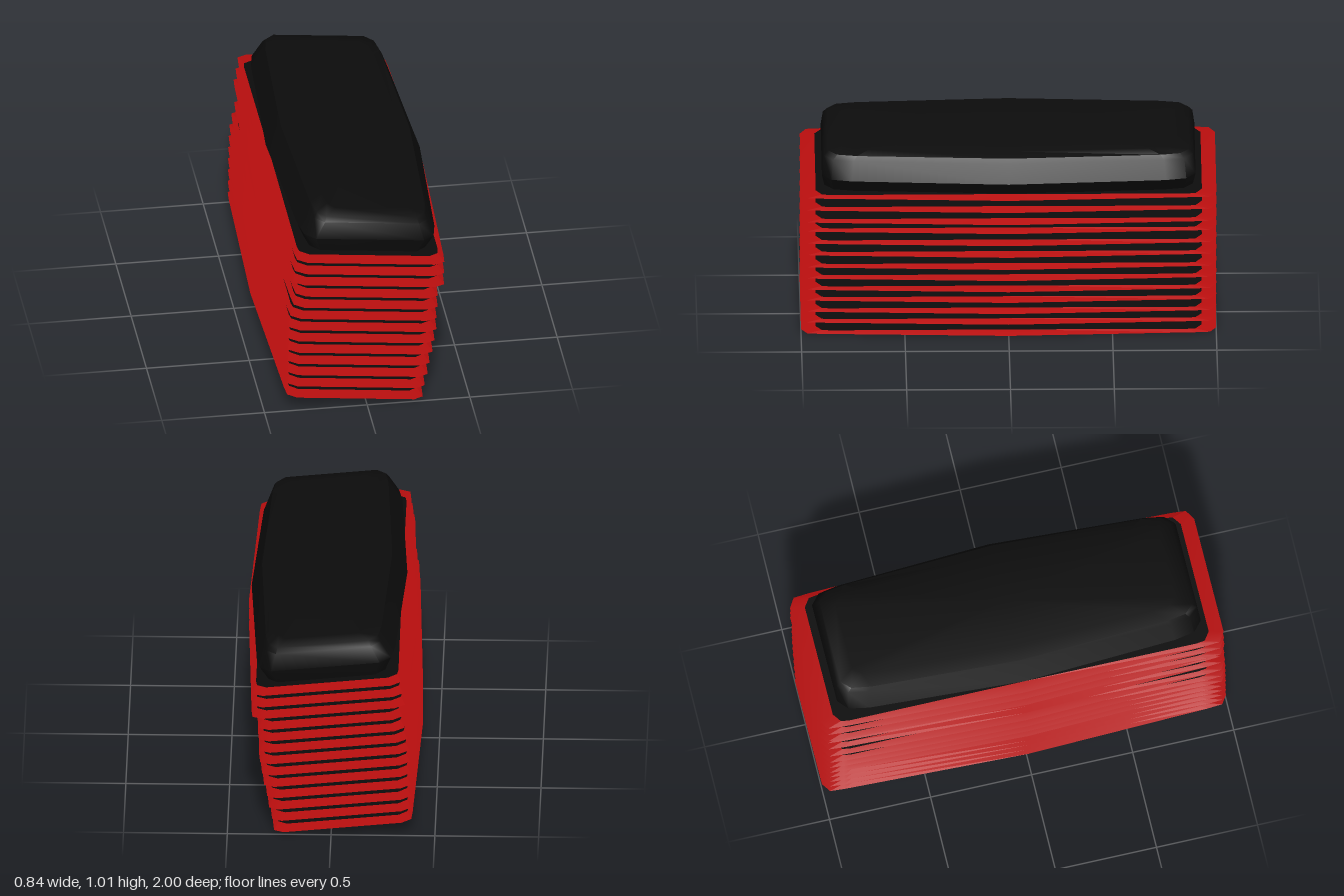
import * as THREE from 'three';
import { toCreasedNormals } from 'three/addons/utils/BufferGeometryUtils.js';

const SLOPE = -0.103; // every layer leans down towards +x

// Full closed outline from one quarter of [x, z] fractions
function outline(q) {
  const rest = q.slice(1), back = [...q].reverse();
  return [
    ...q,
    ...back.map(([x, z]) => [-x, z]),
    ...rest.map(([x, z]) => [-x, -z]),
    ...back.slice(0, -1).map(([x, z]) => [x, -z]),
  ];
}

const BODY = outline([[1, 0], [0.89, 0.84], [0.84, 0.95], [0.7, 1]]);
const EDGE = outline([[1, 0], [0.92, 0.9], [0.905, 0.97], [0.78, 1]]);
const FACE = outline([[0.86, 0], [0.865, 0.86], [0.85, 0.9], [0.74, 0.93]]);

// Joins sections { y, l, r, z, shape } into a sheared solid
function loft(sections, { sides = true, caps = true, crease = 0.6 } = {}) {
  const pos = [], index = [], n = sections[0].shape.length;
  const put = (x, y, z) => pos.push(x, y + SLOPE * x, z);
  for (const { y, l, r, z, shape } of sections) {
    for (const [u, v] of shape) put((l + r) / 2 + (r - l) / 2 * u, y, z * v);
  }
  const last = sections.length - 1, centre = n * sections.length;
  for (const s of [sections[0], sections[last]]) put((s.l + s.r) / 2, s.y, 0);
  for (let i = 0; i < n; i++) {
    const j = (i + 1) % n;
    for (let k = 0; sides && k < last; k++) {
      const a = k * n + i, b = k * n + j, c = b + n, d = a + n;
      index.push(a, d, c, a, c, b);
    }
    if (caps) {
      index.push(centre, i, j);
      index.push(centre + 1, last * n + j, last * n + i);
    }
  }
  const g = new THREE.BufferGeometry();
  g.setAttribute('position', new THREE.Float32BufferAttribute(pos, 3));
  g.setIndex(index);
  return toCreasedNormals(g, crease);
}

const body = rows => rows.map(([y, l, r, z]) => ({ y, l, r, z, shape: BODY }));

export function createModel() {
  const group = new THREE.Group();
  const black = new THREE.MeshStandardMaterial({ color: 0x0c0c0c });
  black.name = 'black';
  const red = new THREE.MeshStandardMaterial({ color: 0xb80e0e });
  red.name = 'red';

  const add = (name, geometry, material, parent = group) => {
    const mesh = new THREE.Mesh(geometry, material);
    mesh.name = name;
    parent.add(mesh);
  };

  // Core behind the plates
  add('core', loft(body([
    [0.015, -0.1, 0.09, 0.8],
    [0.02, -0.2, 0.1, 0.85],
    [0.035, -0.22, 0.13, 0.87],
    [0.075, -0.28, 0.18, 0.88],
    [0.25, -0.285, 0.225, 0.88],
    [0.44, -0.29, 0.26, 0.88],
    [0.58, -0.265, 0.262, 0.88],
    [0.76, -0.215, 0.255, 0.87],
  ])), black);

  // Bulging cap on top
  add('cap', loft(body([
    [0.746, -0.2, 0.25, 0.8],
    [0.755, -0.29, 0.33, 0.88],
    [0.868, -0.345, 0.405, 0.9],
    [0.955, -0.287, 0.367, 0.89],
    [0.978, -0.272, 0.355, 0.87],
    [0.988, -0.2, 0.3, 0.8],
  ]), { crease: 0.8 }), black);

  // Thirteen tilted plates, bottom to top: left and right reach of each
  const reach = [
    [-0.42, 0.31], [-0.42, 0.32], [-0.42, 0.335], [-0.42, 0.345], [-0.42, 0.36],
    [-0.418, 0.37], [-0.415, 0.38], [-0.405, 0.38], [-0.39, 0.385], [-0.38, 0.385],
    [-0.395, 0.418], [-0.385, 0.418], [-0.375, 0.418],
  ];
  reach.forEach(([l, r], i) => {
    const plate = new THREE.Group();
    plate.name = `plate${i + 1}`;
    const y = 0.037 + i * 0.0628, t = 0.008;
    const s = (dy, shape) => ({ y: y + dy, l, r, z: 1, shape });
    const rows = [s(-t, FACE), s(0, EDGE), s(t, FACE)];
    add('plateRim', loft(rows, { caps: false, crease: 0.2 }), red, plate);
    add('plateFaces', loft([rows[0], rows[2]], { sides: false }), black, plate);
    group.add(plate);
  });

  return group;
}
